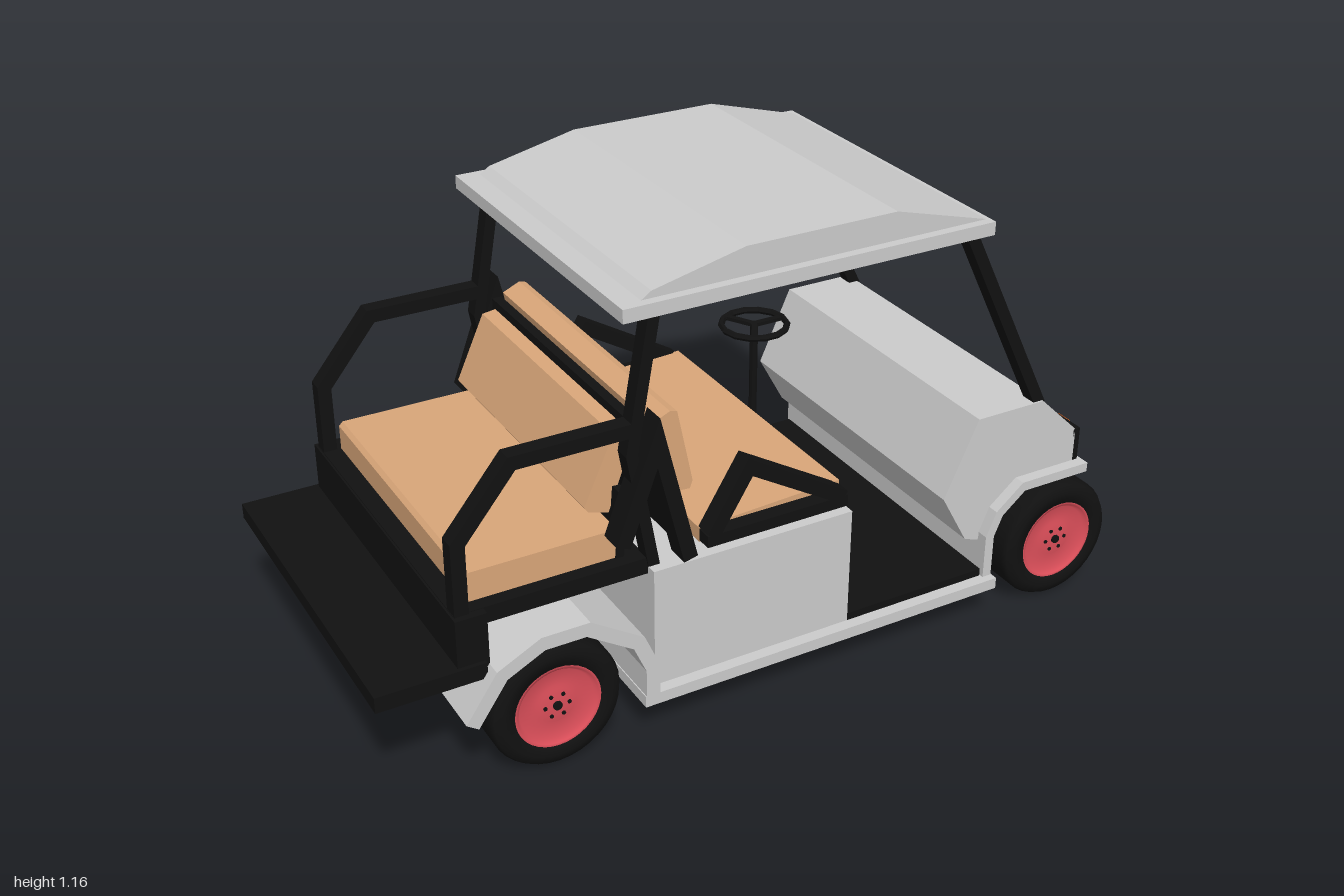
import * as THREE from 'three';

const mat = (color) => new THREE.MeshStandardMaterial({ color, flatShading: true });
const grey = mat(0xcccccc), black = mat(0x111111), tan = mat(0xd9a679);
const orange = mat(0xc8581a), red = mat(0xdc4f5a);
const smoothBlack = new THREE.MeshStandardMaterial({ color: 0x111111 });

export function createModel() {
  const model = new THREE.Group();

  const add = (name, geometry, material, x = 0, y = 0, z = 0, parent = model) => {
    const mesh = new THREE.Mesh(geometry, material);
    mesh.name = name;
    mesh.position.set(x, y, z);
    parent.add(mesh);
    return mesh;
  };

  // Box given by its limits on each axis
  const box = (name, m, x0, x1, y0, y1, z0, z1) =>
    add(name, new THREE.BoxGeometry(x1 - x0, y1 - y0, z1 - z0), m,
      (x0 + x1) / 2, (y0 + y1) / 2, (z0 + z1) / 2);

  // Side profile (x, y) extruded from z0 to z1
  const slab = (name, m, pts, z0, z1) => {
    const shape = new THREE.Shape(pts.map(([x, y]) => new THREE.Vector2(x, y)));
    const geo = new THREE.ExtrudeGeometry(shape, { depth: z1 - z0, bevelEnabled: false });
    return add(name, geo, m, 0, 0, z0);
  };

  // Constant-width band along a side path, with mitred corners
  const band = (name, m, path, width, z0, z1) => {
    const p = path.map(([x, y]) => new THREE.Vector2(x, y));
    const left = [], right = [];
    p.forEach((q, i) => {
      const a = q.clone().sub(p[Math.max(i - 1, 0)]).normalize();
      const b = p[Math.min(i + 1, p.length - 1)].clone().sub(q).normalize();
      const t = a.clone().add(b).normalize();
      const ref = i === 0 ? b : a;
      const n = new THREE.Vector2(-t.y, t.x).multiplyScalar(width / 2 / t.dot(ref));
      left.push([q.x + n.x, q.y + n.y]);
      right.unshift([q.x - n.x, q.y - n.y]);
    });
    return slab(name, m, [...left, ...right], z0, z1);
  };

  // The same band on both sides of the cart
  const bandPair = (name, path, width, z0, z1) => {
    band(name, black, path, width, z0, z1);
    band(name, black, path, width, -z1, -z0);
  };

  // Floor and seat box
  box('floorPan', grey, -0.37, 0.63, 0.095, 0.125, -0.48, 0.48);
  box('floorMat', black, 0.2, 0.6, 0.125, 0.145, -0.45, 0.45);
  box('seatBox', grey, -0.33, 0.2, 0.125, 0.435, -0.45, 0.45);

  // Fenders, running across the whole width
  band('rearFender', grey, [[-0.795, 0.2], [-0.72, 0.31], [-0.62, 0.36], [-0.51, 0.36],
    [-0.385, 0.28], [-0.35, 0.2], [-0.35, 0.12]], 0.035, -0.48, 0.48);
  band('frontFender', grey, [[0.615, 0.12], [0.615, 0.24], [0.64, 0.3], [0.71, 0.358],
    [0.91, 0.358]], 0.025, -0.46, 0.46);

  // Nose with dashboard, front panel and lamps
  slab('nose', grey, [[0.485, 0.37], [0.575, 0.57], [0.77, 0.57], [0.885, 0.46], [0.885, 0.365],
    [0.71, 0.365], [0.635, 0.3], [0.6, 0.22], [0.56, 0.235]], -0.43, 0.43);
  box('frontPanel', black, 0.88, 0.9, 0.37, 0.46, -0.43, 0.43);
  for (const s of [-1, 1]) {
    const lamp = (name, m, a, b, depth) =>
      box(name, m, 0.89, depth, 0.385, 0.45, Math.min(s * a, s * b), Math.max(s * a, s * b));
    lamp('headlight', grey, 0.2, 0.33, 0.908);
    lamp('turnSignal', orange, 0.33, 0.375, 0.915);
  }
  box('frontAxleHousing', black, 0.72, 0.96, 0.155, 0.31, -0.295, 0.295);

  // Roof and its posts
  box('roofEdge', grey, -0.39, 0.57, 1.055, 1.088, -0.435, 0.435);
  slab('roofCrown', grey, [[-0.335, 1.088], [-0.31, 1.105], [-0.08, 1.157], [0.31, 1.157],
    [0.56, 1.088]], -0.412, 0.412);
  bandPair('frontPost', [[0.515, 1.06], [0.765, 0.56]], 0.03, 0.385, 0.425);
  bandPair('rearPost', [[-0.31, 1.06], [-0.368, 0.73], [-0.315, 0.43]], 0.028, 0.385, 0.425);

  // Front bench
  slab('frontCushion', tan, [[-0.18, 0.435], [0.2, 0.435], [0.2, 0.49], [-0.18, 0.472]], -0.39, 0.39);
  slab('frontBackrest', tan, [[-0.265, 0.59], [-0.205, 0.585], [-0.198, 0.605], [-0.237, 0.79],
    [-0.255, 0.795], [-0.3, 0.775]], -0.39, 0.39);
  bandPair('armrest', [[-0.165, 0.465], [-0.07, 0.62], [0.19, 0.465]], 0.035, 0.385, 0.43);
  bandPair('armrestBase', [[-0.18, 0.455], [0.2, 0.455]], 0.03, 0.39, 0.43);

  // Frame between the two back-to-back benches
  bandPair('backrestFrame', [[-0.405, 0.52], [-0.315, 0.76], [-0.235, 0.44]], 0.036, 0.39, 0.45);
  band('frontBackPanel', black, [[-0.255, 0.62], [-0.215, 0.435]], 0.02, -0.39, 0.39);
  band('rearBackPanel', black, [[-0.37, 0.62], [-0.385, 0.44]], 0.02, -0.39, 0.39);
  box('backrestCrossbar', black, -0.33, -0.305, 0.735, 0.765, -0.4, 0.4);

  // Rear-facing bench
  slab('rearBackrest', tan, [[-0.45, 0.585], [-0.44, 0.57], [-0.39, 0.555], [-0.325, 0.73],
    [-0.34, 0.755], [-0.375, 0.75]], -0.35, 0.35);
  slab('rearCushion', tan, [[-0.755, 0.455], [-0.38, 0.455], [-0.38, 0.53], [-0.745, 0.53],
    [-0.755, 0.52]], -0.385, 0.385);
  box('rearSeatBase', black, -0.8, -0.33, 0.415, 0.457, -0.42, 0.42);
  bandPair('rearRail', [[-0.782, 0.42], [-0.782, 0.63], [-0.65, 0.792], [-0.365, 0.792]],
    0.034, 0.385, 0.425);
  box('footrestRiser', black, -0.805, -0.73, 0.3, 0.455, -0.44, 0.44);
  box('footrest', black, -1, -0.74, 0.295, 0.335, -0.45, 0.45);

  // Steering column and wheel
  const steering = new THREE.Group();
  steering.name = 'steering';
  steering.position.set(0.37, 0, -0.28);
  model.add(steering);
  add('column', new THREE.CylinderGeometry(0.011, 0.011, 0.44, 8), black, 0, 0.36, 0, steering);
  add('steeringRim', new THREE.TorusGeometry(0.088, 0.009, 6, 14), black, 0, 0.575, 0, steering)
    .rotation.x = Math.PI / 2;
  for (let i = 0; i < 3; i++) {
    const a = i * Math.PI * 2 / 3;
    add('spoke', new THREE.BoxGeometry(0.088, 0.01, 0.016), black,
      0.044 * Math.cos(a), 0.575, -0.044 * Math.sin(a), steering).rotation.y = a;
  }

  // Wheels: tyre, dished rim, hub cap and bolts; the lathe axis points outwards
  const v = (x, y) => new THREE.Vector2(x, y);
  const tyre = new THREE.LatheGeometry([v(0, -0.08), v(0.13, -0.08), v(0.155, -0.074), v(0.163, -0.06),
    v(0.163, 0.06), v(0.155, 0.074), v(0.135, 0.08), v(0.108, 0.078), v(0.104, 0.06), v(0, 0.06)], 36);
  const rim = new THREE.LatheGeometry([v(0.107, 0.079), v(0.1, 0.079), v(0.092, 0.068),
    v(0.05, 0.066), v(0.044, 0.072), v(0, 0.072)].reverse(), 36);
  const rimMat = new THREE.MeshStandardMaterial({ color: red.color, side: THREE.DoubleSide });
  for (const x of [-0.58, 0.835]) {
    for (const s of [-1, 1]) {
      const wheel = new THREE.Group();
      wheel.name = x > 0 ? 'frontWheel' : 'rearWheel';
      wheel.position.set(x, 0.163, s * 0.38);
      wheel.rotation.x = s * Math.PI / 2;
      model.add(wheel);
      add('tyre', tyre, smoothBlack, 0, 0, 0, wheel);
      add('rim', rim, rimMat, 0, 0, 0, wheel);
      add('hubCap', new THREE.CylinderGeometry(0.011, 0.011, 0.012, 12), black, 0, 0.072, 0, wheel);
      for (let i = 0; i < 6; i++) {
        const a = i * Math.PI / 3;
        add('bolt', new THREE.CylinderGeometry(0.005, 0.005, 0.006, 8), black,
          0.03 * Math.cos(a), 0.072, 0.03 * Math.sin(a), wheel);
      }
    }
  }
  return model;
}
